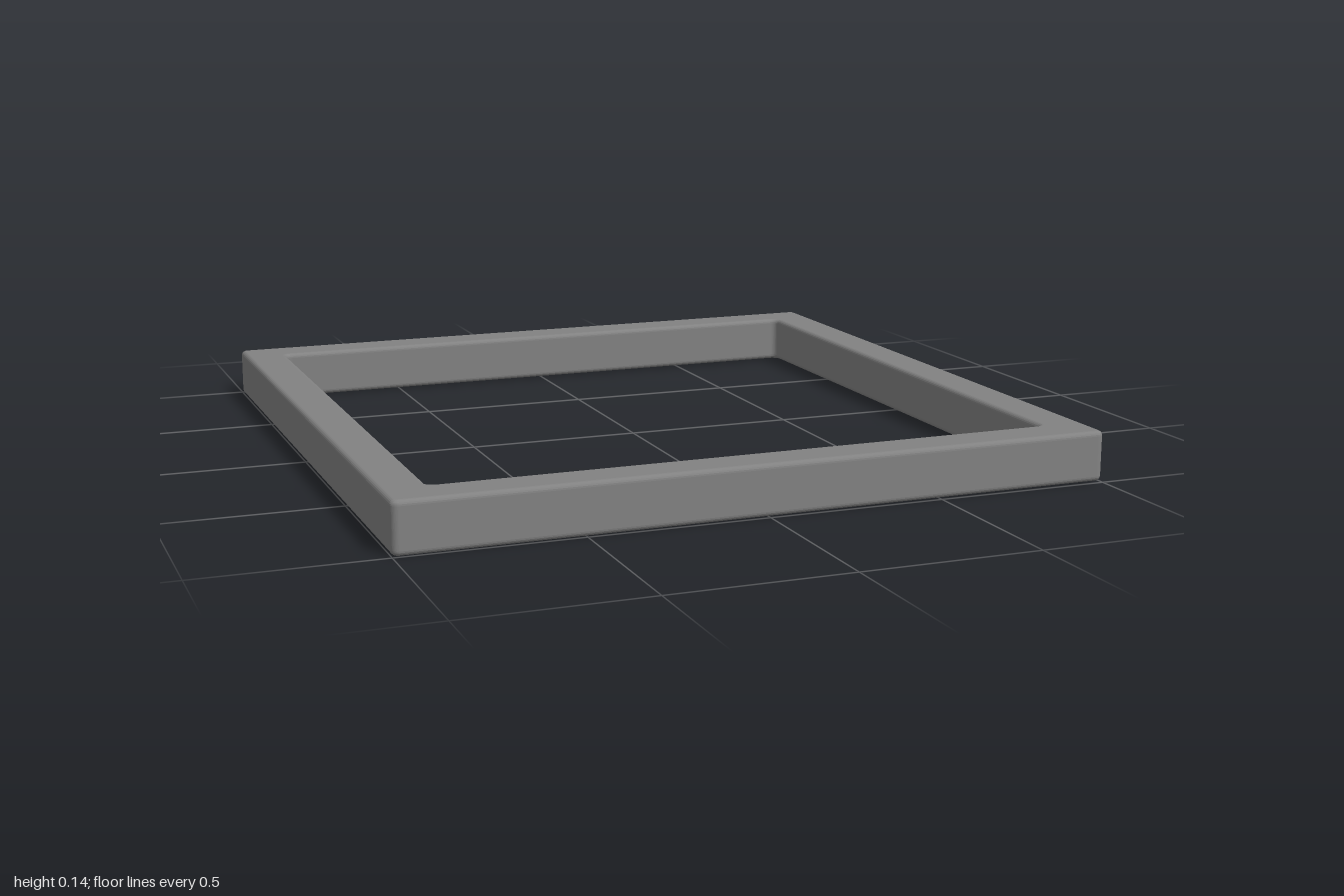
import * as THREE from 'three';

const HEIGHT = 0.141;
const BEVEL = 0.014;
const TILT = 0.002;

// Traces a square with rounded corners: half is half its side, r the corner radius
function roundedSquare(path, half, r) {
  const c = half - r;
  [[c, c], [-c, c], [-c, -c], [c, -c]].forEach(([x, y], i) => {
    const start = i * Math.PI / 2;
    path.absarc(x, y, r, start, start + Math.PI / 2, false);
  });
  path.closePath();
  return path;
}

export function createModel() {
  const group = new THREE.Group();
  group.name = 'squareFrame';

  // Square outline with a square opening
  const outline = roundedSquare(new THREE.Shape(), 1, 0.02);
  outline.holes.push(roundedSquare(new THREE.Path(), 0.875, 0.02));

  // Narrow rounded edges between crisp flat faces
  const geometry = new THREE.ExtrudeGeometry(outline, {
    depth: HEIGHT - 2 * BEVEL,
    bevelEnabled: true,
    bevelThickness: BEVEL,
    bevelSize: BEVEL,
    bevelOffset: -BEVEL,
    bevelSegments: 5,
    curveSegments: 5,
  });
  geometry.translate(0, 0, BEVEL);
  geometry.rotateX(-Math.PI / 2);

  // The frame lies very slightly higher on its left side
  const frame = new THREE.Mesh(geometry, new THREE.MeshStandardMaterial({ color: 0x828282 }));
  frame.name = 'frame';
  frame.rotation.z = TILT;
  frame.position.y = TILT;
  group.add(frame);
  return group;
}
